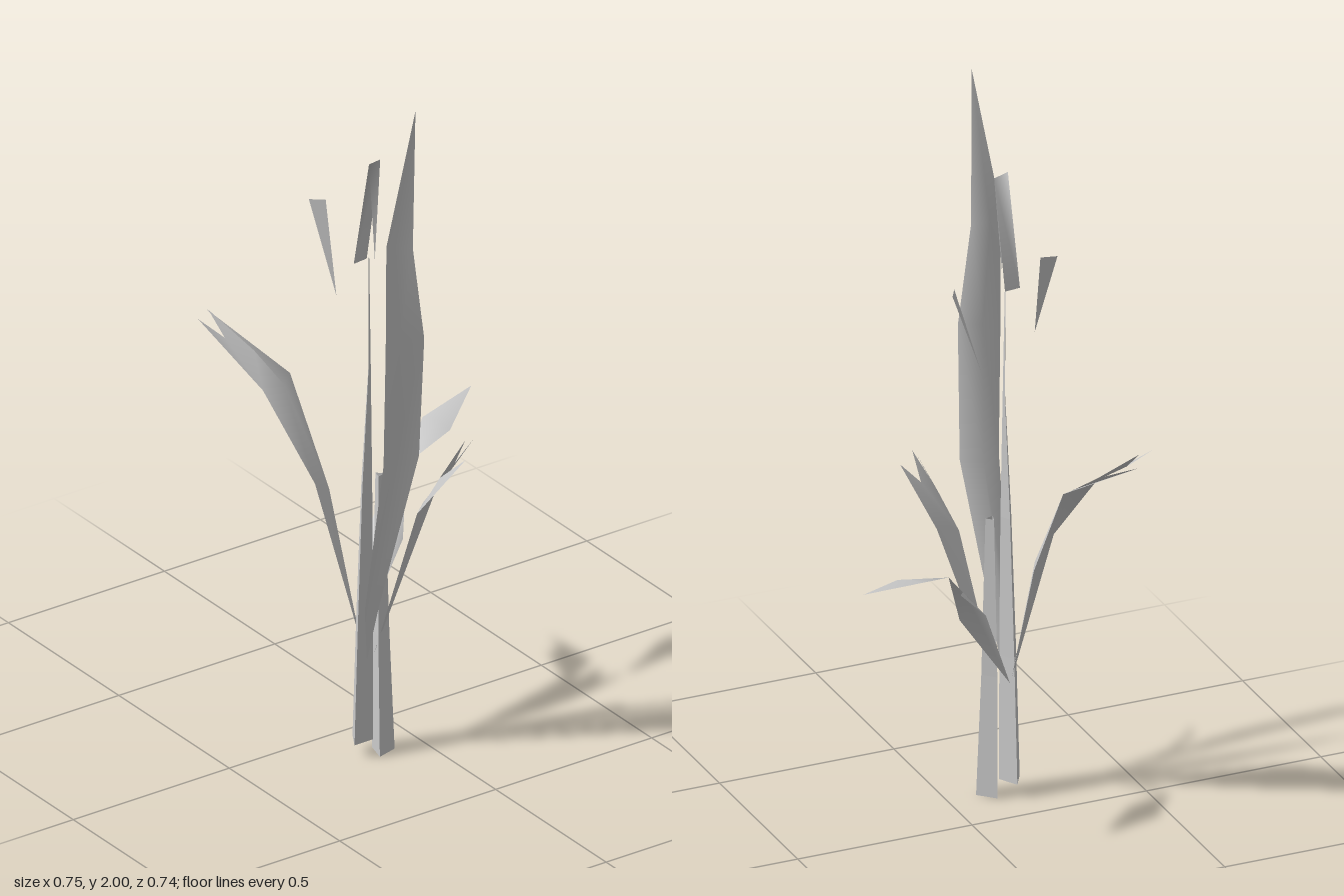
import * as THREE from 'three';
import { mergeVertices } from 'three/addons/utils/BufferGeometryUtils.js';

const material = new THREE.MeshStandardMaterial({ color: 0xcccccc, side: THREE.DoubleSide });

// Surface from a list of polygons, each a fan of [x, y, z] corners
function facets(name, polygons, smooth = true) {
  const pos = [];
  for (const p of polygons)
    for (let i = 1; i < p.length - 1; i++) pos.push(...p[0], ...p[i], ...p[i + 1]);
  let geo = new THREE.BufferGeometry();
  geo.setAttribute('position', new THREE.Float32BufferAttribute(pos, 3));
  if (smooth) geo = mergeVertices(geo);
  geo.computeVertexNormals();
  const mesh = new THREE.Mesh(geo, material);
  mesh.name = name;
  return mesh;
}

// Polygons joining rows of left / midrib / right points; one-point rows are tips
function loft(rows) {
  const out = [];
  for (let r = 0; r < rows.length - 1; r++) {
    const a = rows[r], b = rows[r + 1];
    for (let i = 0; i < Math.max(a.length, b.length) - 1; i++) {
      if (a.length === 1) out.push([a[0], b[i + 1], b[i]]);
      else if (b.length === 1) out.push([a[i], a[i + 1], b[0]]);
      else out.push([a[i], a[i + 1], b[i + 1]], [a[i], b[i + 1], b[i]]);
    }
  }
  return out;
}

// Torn leaf end: three pointed tips with two notches above a left / midrib / right row
function tornEnd([left, mid, right], tips, [n0, n1]) {
  return [
    [left, n0, tips[0]], [left, mid, n1, n0], [n0, n1, tips[1]],
    [mid, tips[2], n1], [mid, right, tips[2]],
  ];
}

// Three-sided tapering stem; sections are [x, y, z, radius]
function stem(name, sections, turn) {
  const rows = sections.map(([x, y, z, r]) => [0, 1, 2, 3].map((k) => {
    const a = turn + (k % 3) * Math.PI * 2 / 3;
    return [x + r * Math.sin(a), y, z + r * Math.cos(a)];
  }));
  return facets(name, [...loft(rows), rows[0].slice(0, 3).reverse()], false);
}

export function createModel() {
  const plant = new THREE.Group();
  plant.name = 'plant';

  // Stems
  plant.add(stem('floweringStem', [
    [-0.173, 0.04, 0.13, 0.034], [-0.17, 0.4, 0.137, 0.028],
    [-0.165, 0.8, 0.143, 0.018], [-0.163, 1.15, 0.158, 0.004], [-0.17, 1.48, 0.166, 0.001],
  ], Math.PI / 3));
  plant.add(stem('shortStem', [
    [-0.117, 0, 0.151, 0.035], [-0.12, 0.35, 0.146, 0.026], [-0.114, 0.81, 0.135, 0.014],
  ], 1.31));

  // Tall upright leaf folded along its midrib
  plant.add(facets('tallLeaf', loft([
    [[-0.165, 0.28, 0.15]],
    [[-0.193, 0.45, 0.18], [-0.17, 0.45, 0.17], [-0.147, 0.45, 0.18]],
    [[-0.2, 0.92, 0.275], [-0.145, 0.92, 0.25], [-0.09, 0.92, 0.28]],
    [[-0.225, 1.29, 0.32], [-0.165, 1.29, 0.3], [-0.105, 1.29, 0.325]],
    [[-0.23, 1.6, 0.33], [-0.19, 1.58, 0.308], [-0.145, 1.57, 0.33]],
    [[-0.165, 2, 0.37]],
  ])));

  // Back leaf with a torn end
  const backRow = [[-0.3, 1.0, -0.13], [-0.225, 0.99, -0.14], [-0.185, 1.0, -0.17]];
  plant.add(facets('backLeaf', [
    ...loft([
      [[-0.165, 0.33, 0.12]],
      [[-0.25, 0.78, 0.035], [-0.18, 0.73, 0], [-0.155, 0.73, -0.05]],
      backRow,
    ]),
    ...tornEnd(backRow,
      [[-0.377, 1.155, -0.315], [-0.33, 1.16, -0.335], [-0.31, 1.14, -0.372]],
      [[-0.32, 1.1, -0.275], [-0.255, 1.06, -0.233]]),
  ]));

  // Arching side leaf, pinched at the bend, with a split corner
  const inner = [-0.04, 0.6, 0];
  plant.add(facets('archingLeaf', [
    ...loft([
      [[-0.16, 0.33, 0.115]],
      [inner, [-0.025, 0.6, 0.05], [0, 0.56, 0.08]],
      [[0.065, 0.73, 0.005]],
      [[0.19, 0.785, -0.1], [0.215, 0.785, -0.065], [0.225, 0.768, -0.025]],
      [[0.375, 0.805, -0.14]],
    ]),
    [inner, [0.025, 0.68, 0.003], [0.055, 0.7, -0.05]],
  ]));

  // Front leaf with a torn end
  const frontRow = [[-0.075, 0.73, 0.25], [-0.05, 0.75, 0.24], [0, 0.76, 0.225]];
  plant.add(facets('frontLeaf', [
    ...loft([[[-0.14, 0.3, 0.15]], frontRow]),
    ...tornEnd(frontRow,
      [[-0.003, 0.92, 0.37], [0.025, 0.95, 0.327], [0.072, 0.93, 0.3]],
      [[-0.03, 0.84, 0.29], [0.015, 0.87, 0.293]]),
  ]));

  // Flower petals around the top of the stem
  plant.add(facets('rightPetal', [[[-0.245, 1.605, 0], [-0.205, 1.6, 0.02], [-0.22, 1.35, 0.09]]]));
  plant.add(facets('leftPetal', [[[-0.005, 1.5, 0.125], [0.017, 1.5, 0.087], [-0.075, 1.255, 0.11]]]));
  plant.add(facets('foldedPetal', [
    [[-0.2, 1.46, 0.14], [-0.155, 1.46, 0.135], [-0.145, 1.77, 0.182], [-0.19, 1.775, 0.195]],
    [[-0.19, 1.775, 0.195], [-0.145, 1.77, 0.182], [-0.175, 1.49, 0.2]],
  ]));

  return plant;
}
